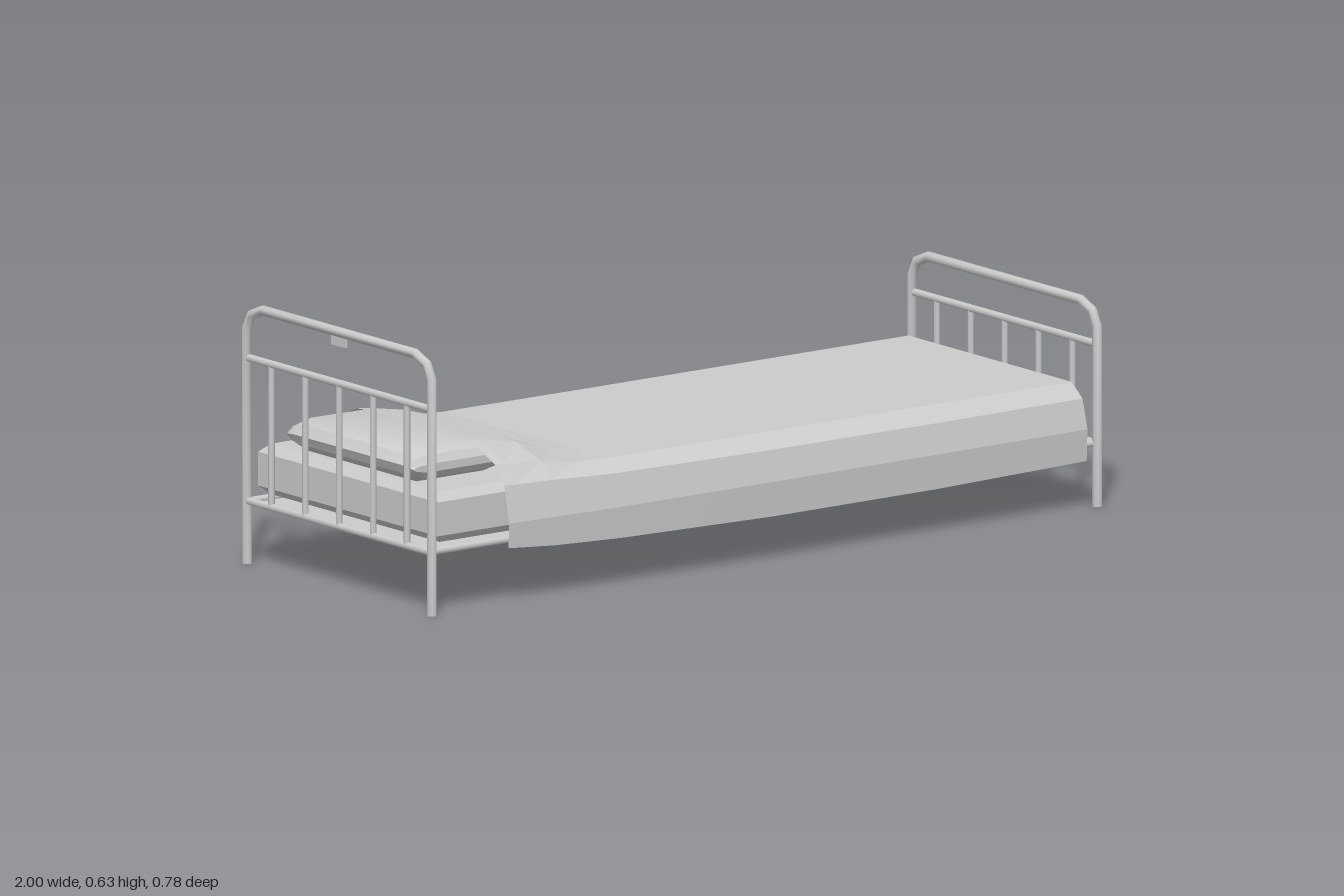
import * as THREE from 'three';
import { toCreasedNormals } from 'three/addons/utils/BufferGeometryUtils.js';

const grey = new THREE.MeshStandardMaterial({ color: 0xcccccc });
const cloth = new THREE.MeshStandardMaterial({ color: 0xcccccc, side: THREE.DoubleSide });

function add(parent, name, geometry, material = grey) {
  const mesh = new THREE.Mesh(geometry, material);
  mesh.name = name;
  parent.add(mesh);
  return mesh;
}

// Skin a surface over a row of cross-sections with equal point counts
function loft(sections, closed, crease) {
  const n = sections[0].length, index = [];
  for (let i = 0; i < sections.length - 1; i++) {
    for (let j = 0; j < (closed ? n : n - 1); j++) {
      const k = (j + 1) % n;
      const a = i * n + j, b = i * n + k, c = a + n, d = b + n;
      index.push(a, b, c, b, d, c);
    }
  }
  if (closed) {
    const last = (sections.length - 1) * n;
    for (let j = 1; j < n - 1; j++) {
      index.push(0, j + 1, j, last, last + j, last + j + 1);
    }
  }
  const geometry = new THREE.BufferGeometry();
  geometry.setAttribute('position', new THREE.Float32BufferAttribute(sections.flat(2), 3));
  geometry.setIndex(index);
  return toCreasedNormals(geometry, crease);
}

// Mitred round pipe along [z, y] points at a fixed x
function pipe(x, points, radius, sides = 8) {
  const v = points.map(p => new THREE.Vector2(...p));
  const rings = v.map((p, i) => {
    const before = p.clone().sub(v[Math.max(i - 1, 0)]).normalize();
    const after = v[Math.min(i + 1, v.length - 1)].clone().sub(p).normalize();
    const t = before.clone().add(after).normalize();
    const miter = radius / t.dot(i ? before : after);
    return Array.from({ length: sides }, (_, s) => {
      const a = (s + 0.5) / sides * Math.PI * 2;
      const across = Math.cos(a) * miter;
      return [x + Math.sin(a) * radius, p.y - t.x * across, p.x + t.y * across];
    });
  });
  return loft(rings, true, 0.9);
}

// Straight rod between two points
function rod(parent, name, from, to, radius) {
  const a = new THREE.Vector3(...from), b = new THREE.Vector3(...to);
  const mesh = add(parent, name, new THREE.CylinderGeometry(radius, radius, a.distanceTo(b), 8));
  mesh.position.copy(a).add(b).multiplyScalar(0.5);
  mesh.quaternion.setFromUnitVectors(new THREE.Vector3(0, 1, 0), b.sub(a).normalize());
}

// End frame: bent pipe, two cross rails and five spindles
function endFrame(name, x, top, rail) {
  const frame = new THREE.Group();
  frame.name = name;
  const half = [[0.36, 0], [0.36, top - 0.065], [0.342, top - 0.031], [0.297, top - 0.012]];
  const path = [...half, ...half.map(([z, y]) => [-z, y]).reverse()];
  add(frame, 'bentPipe', pipe(x, path, 0.012));
  rod(frame, 'upperRail', [x, rail, -0.352], [x, rail, 0.352], 0.0095);
  rod(frame, 'lowerRail', [x, 0.152, -0.352], [x, 0.152, 0.352], 0.0095);
  for (let i = -2; i <= 2; i++) {
    rod(frame, 'spindle', [x, 0.152, i * 0.132], [x, rail, i * 0.132], 0.008);
  }
  return frame;
}

export function createModel() {
  const bed = new THREE.Group();
  bed.name = 'bed';

  // Metal frame
  const headboard = endFrame('headboard', -0.988, 0.634, 0.498);
  bed.add(headboard, endFrame('footboard', 0.986, 0.5, 0.392));
  const plate = add(headboard, 'plate', new THREE.BoxGeometry(0.006, 0.03, 0.055));
  plate.position.set(-0.988, 0.603, 0);
  for (const z of [-0.352, 0.352]) {
    rod(bed, 'sideRail', [-0.988, 0.152, z], [0.986, 0.152, z], 0.009);
  }

  // Underside sheet
  const base = add(bed, 'basePanel', new THREE.PlaneGeometry(1.974, 0.704).rotateX(Math.PI / 2), cloth);
  base.position.y = 0.148;

  // Mattress with chamfered edges
  const outline = new THREE.Shape();
  outline.moveTo(-0.94, -0.328).lineTo(0.914, -0.328).lineTo(0.914, 0.328).lineTo(-0.94, 0.328);
  const mattress = add(bed, 'mattress', new THREE.ExtrudeGeometry(outline, {
    depth: 0.082, bevelEnabled: true, bevelSegments: 1, bevelSize: 0.022, bevelThickness: 0.02,
  }).rotateX(-Math.PI / 2));
  mattress.position.y = 0.186;

  // Pillow: one side profile, thinned and shortened toward both ends
  const profile = [[-0.965, 0.335], [-0.948, 0.358], [-0.91, 0.368], [-0.72, 0.366],
    [-0.65, 0.342], [-0.66, 0.305], [-0.72, 0.289], [-0.92, 0.289], [-0.955, 0.312]];
  const pillowRows = [[-0.247, 0.95, 0.25], [-0.235, 0.98, 0.7], [-0.21, 1, 1],
    [0.21, 1, 1], [0.235, 0.98, 0.7], [0.247, 0.95, 0.25]];
  add(bed, 'pillow', loft(pillowRows.map(([z, sx, sy]) => profile.map(([x, y]) =>
    [-0.81 + (x + 0.81) * sx, 0.325 + (y - 0.325) * sy, z]).reverse()), true, 0.5));

  // Blanket: x, crown height, shoulder height, edge height, hem height, spread
  const rows = [
    [-0.768, 0.375, 0.328, 0.284, 0.135, -0.01],
    [-0.74, 0.372, 0.327, 0.282, 0.133, -0.008],
    [-0.63, 0.352, 0.318, 0.28, 0.125, -0.004],
    [-0.53, 0.314, 0.304, 0.276, 0.122, 0.001],
    [-0.44, 0.301, 0.3, 0.273, 0.119, 0.004],
    [0, 0.299, 0.299, 0.268, 0.111, 0.005],
    [0.5, 0.299, 0.299, 0.266, 0.111, 0.002],
    [0.942, 0.299, 0.299, 0.266, 0.118, -0.003],
  ];
  add(bed, 'blanket', loft(rows.map(([x, crown, shoulder, edge, hem, s]) => {
    const half = [[0.15, crown], [0.22, crown * 0.88 + shoulder * 0.12], [0.318, shoulder],
      [0.364 + s, edge], [0.383 + s, 0.195], [0.38 + s, hem]];
    const left = half.map(([z, y]) => [x, y, z]).reverse();
    return [...left, ...half.map(([z, y]) => [x, y, -z])].reverse();
  }), false, 0.1), cloth);

  return bed;
}
